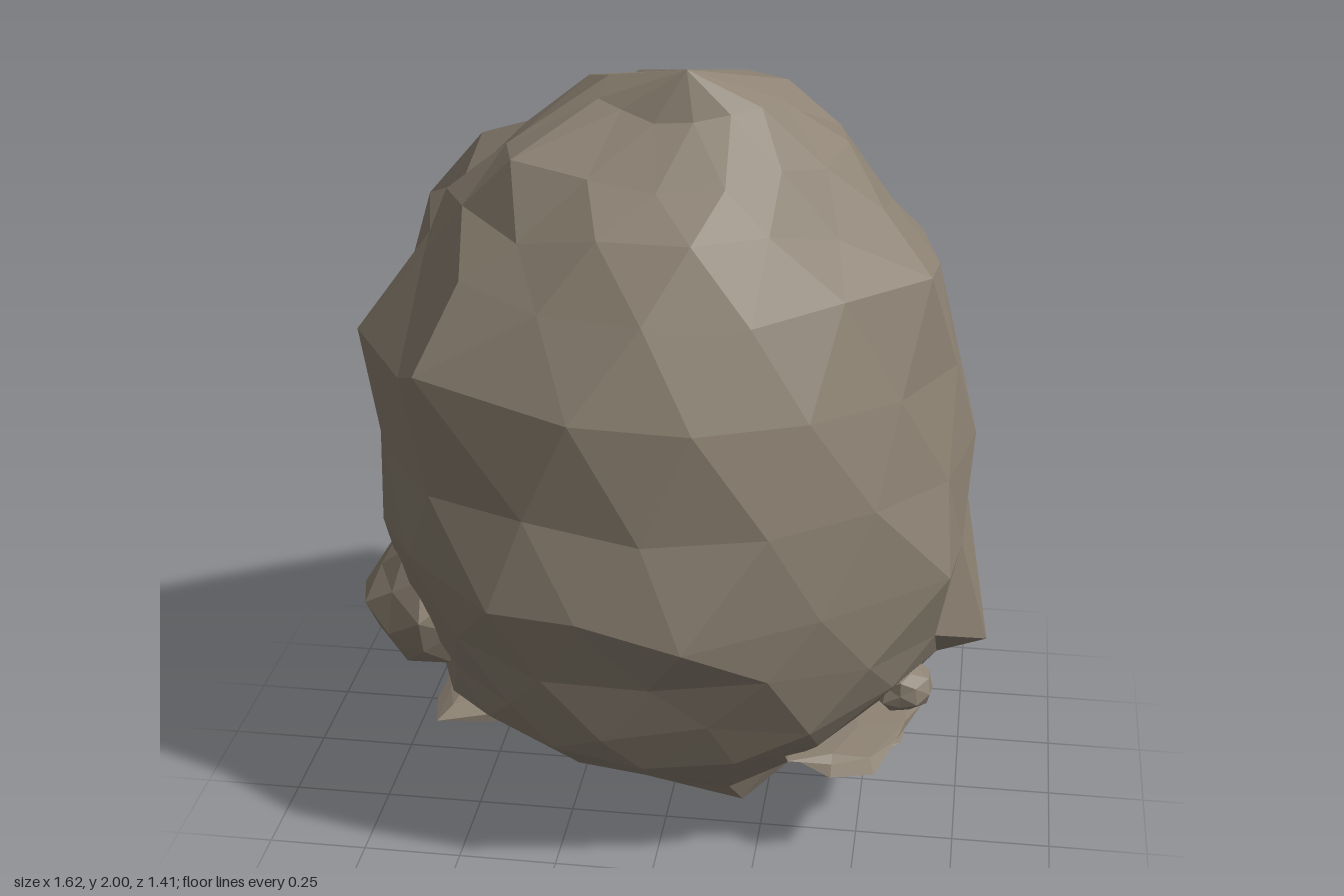
import * as THREE from 'three';

const material = new THREE.MeshStandardMaterial({ color: 0x8c8172, roughness: 1, flatShading: true });

// Repeatable value in -1..1
function seeded(seed) {
  let s = seed;
  return () => {
    s = (s * 16807) % 2147483647;
    return (s / 2147483647) * 2 - 1;
  };
}

// Height, -x, +x, -z, +z reach of each cross-section
const SECTIONS = [
  [0.08, -0.24, 0.34, -0.35, 0.22],
  [0.2, -0.41, 0.44, -0.42, 0.35],
  [0.33, -0.61, 0.57, -0.49, 0.53],
  [0.46, -0.65, 0.69, -0.60, 0.59],
  [0.61, -0.71, 0.74, -0.66, 0.64],
  [0.79, -0.77, 0.76, -0.67, 0.67],
  [1.02, -0.77, 0.76, -0.66, 0.65],
  [1.27, -0.76, 0.70, -0.64, 0.62],
  [1.5, -0.67, 0.64, -0.53, 0.52],
  [1.64, -0.58, 0.53, -0.43, 0.42],
  [1.77, -0.43, 0.41, -0.32, 0.32],
  [1.9, -0.22, 0.25, -0.16, 0.2],
];

// Sharp corners the nearest vertex is pulled to
const CORNERS = [
  [0.81, 0.46, 0], [0.68, 0.54, -0.41], [0.0, 0.07, -0.36],
  [0.1, 0.75, 0.7], [-0.13, 1.32, -0.71], [0.1, 0.75, -0.7],
  [-0.81, 0.78, -0.1], [-0.79, 1.3, 0.14], [-0.78, 1.2, -0.21],
  [-0.38, 0.78, 0.61], [0.71, 0.8, 0.32], [-0.57, 1.32, 0.47],
  [0.63, 1.53, 0.2], [-0.52, 1.73, -0.15], [-0.68, 1.54, -0.22],
  [-0.36, 1.8, 0.27], [0.33, 1.74, -0.34], [0.42, 1.56, -0.44],
  [0.25, 1.9, -0.14], [-0.16, 1.95, 0.05],
];

// Hollows: centre, spread, depth
const HOLLOWS = [
  [0.36, 1.62, 0.24, 0.18, 0.05],
  [-0.62, 1.5, 0.08, 0.12, 0.05],
  [0.1, 0.6, 0.64, 0.15, 0.03],
  [-0.4, 0.28, -0.28, 0.2, 0.06],
];

// Main boulder: staggered elliptical rings, roughened, closed by two off-centre tips
function boulderGeometry() {
  const sides = 16, rand = seeded(77), points = [], index = [];
  SECTIONS.forEach(([y, xl, xr, zb, zf], r) => {
    const cx = (xl + xr) / 2, cz = (zb + zf) / 2;
    for (let i = 0; i < sides; i++) {
      const a = ((i + (r % 2) * 0.5) / sides) * Math.PI * 2;
      const k = 1 + rand() * 0.02;
      points.push(new THREE.Vector3(
        cx + Math.cos(a) * (xr - xl) / 2 * k,
        y + rand() * (r ? 0.03 : 0.01),
        cz + Math.sin(a) * (zf - zb) / 2 * k
      ));
    }
  });
  for (const [x, y, z, spread, depth] of HOLLOWS) {
    const centre = new THREE.Vector3(x, y, z);
    const outward = new THREE.Vector3(x, 0, z).normalize();
    for (const p of points) {
      const d = p.distanceTo(centre) / spread;
      p.addScaledVector(outward, -depth * Math.exp(-d * d));
    }
  }
  for (const corner of CORNERS) {
    const target = new THREE.Vector3(...corner);
    points.reduce((a, b) => (b.distanceTo(target) < a.distanceTo(target) ? b : a)).copy(target);
  }
  const last = SECTIONS.length - 1;
  for (let r = 0; r < last; r++) {
    for (let i = 0; i < sides; i++) {
      const j = (i + 1) % sides;
      const a = r * sides + i, b = r * sides + j;
      const c = a + sides, d = b + sides;
      if (r % 2 === 0) index.push(a, c, b, b, c, d);
      else index.push(a, c, d, a, d, b);
    }
  }
  const bottom = points.length, top = bottom + 1;
  points.push(new THREE.Vector3(0.19, 0, 0.14), new THREE.Vector3(0.04, 2, 0.16));
  for (let i = 0; i < sides; i++) {
    const j = (i + 1) % sides;
    index.push(bottom, i, j);
    index.push(top, last * sides + j, last * sides + i);
  }
  const g = new THREE.BufferGeometry().setFromPoints(points);
  g.setIndex(index);
  g.computeVertexNormals();
  return g;
}

// Small angular stone: an icosahedron whose matching corners are displaced together
function stone(name, [x, y, z], [sx, sy, sz], seed, rough = 0.1, turn = 0) {
  const g = new THREE.IcosahedronGeometry(1, 1);
  const p = g.attributes.position, rand = seeded(seed), moved = new Map();
  for (let i = 0; i < p.count; i++) {
    const key = [p.getX(i), p.getY(i), p.getZ(i)].map(v => Math.round(v * 1000)).join();
    if (!moved.has(key)) moved.set(key, 1 + rand() * rough);
    const k = moved.get(key);
    p.setXYZ(i, p.getX(i) * k * sx, p.getY(i) * k * sy, p.getZ(i) * k * sz);
  }
  g.computeVertexNormals();
  const mesh = new THREE.Mesh(g, material);
  mesh.name = name;
  mesh.position.set(x, y, z);
  mesh.rotation.y = turn;
  return mesh;
}

export function createModel() {
  const group = new THREE.Group();
  group.name = 'rock';
  const body = new THREE.Mesh(boulderGeometry(), material);
  body.name = 'boulder';
  group.add(body);

  // Rounded outcrops near the foot
  group.add(stone('rightOutcrop', [-0.62, 0.58, 0.13], [0.18, 0.19, 0.2], 11));
  group.add(stone('leftOutcrop', [0.56, 0.43, -0.14], [0.15, 0.12, 0.17], 23));
  group.add(stone('leftPebble', [0.6, 0.41, 0.18], [0.08, 0.07, 0.07], 31));
  group.add(stone('footOutcrop', [0.3, 0.2, 0.02], [0.17, 0.07, 0.22], 47));

  // Thin broken shelves around the foot
  group.add(stone('rightShelf', [-0.38, 0.28, 0.0], [0.19, 0.04, 0.34], 59, 0.12, -0.6));
  group.add(stone('leftShelf', [0.44, 0.29, 0.06], [0.19, 0.035, 0.38], 61, 0.15));
  group.add(stone('leftLowerShelf', [0.43, 0.25, 0.02], [0.18, 0.025, 0.3], 73, 0.15));
  return group;
}
